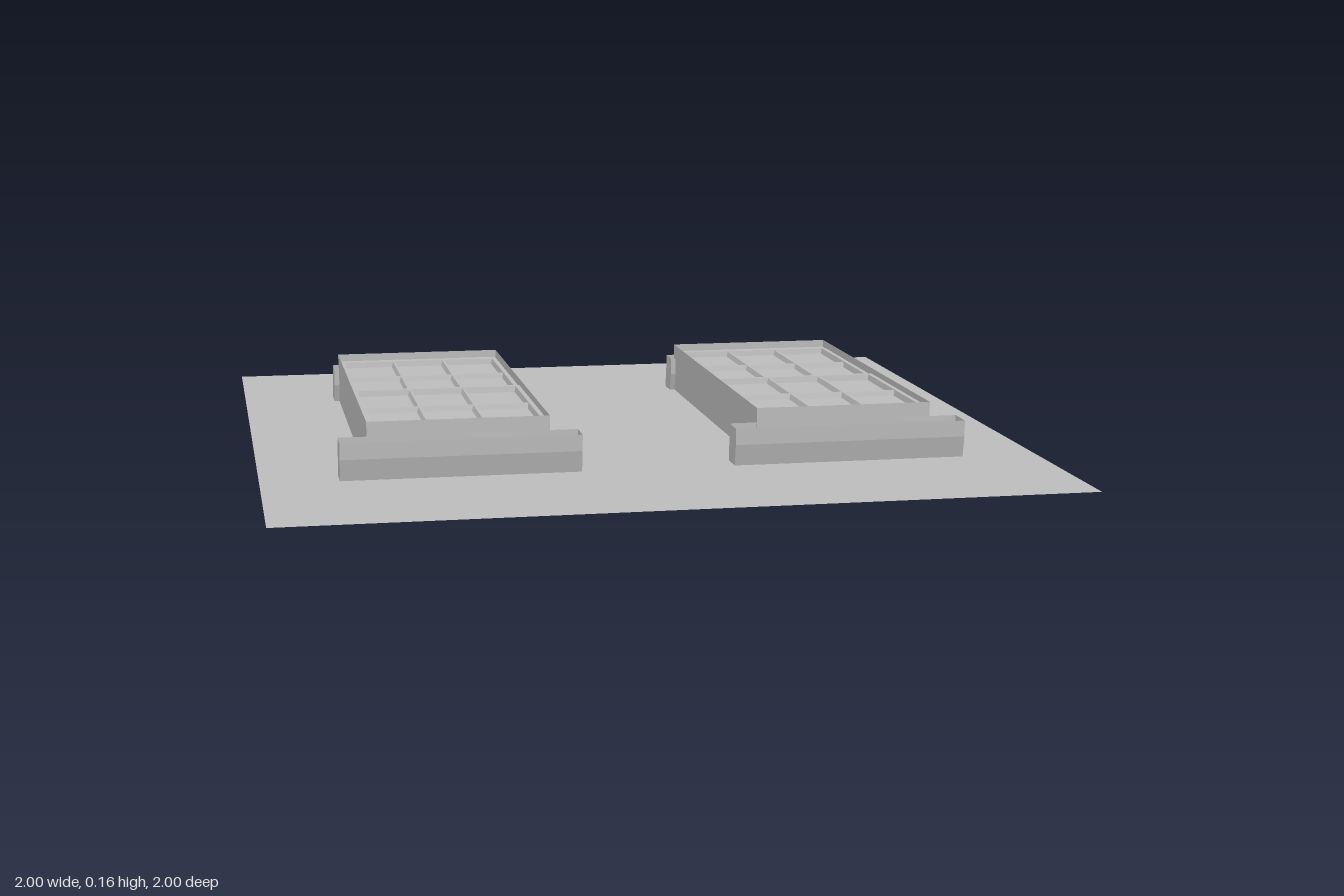
import * as THREE from 'three';

const grey = new THREE.MeshStandardMaterial({ color: 0xc0c0c0, side: THREE.DoubleSide });
grey.name = 'plaster grey';

const WALL_Y = 0.02, TOP_Y = 0.155;
const HALF_W = 0.231, Z_BACK = -0.55, Z_FRONT = 0.483;

function add(parent, name, geometry) {
  const mesh = new THREE.Mesh(geometry, grey);
  mesh.name = name;
  parent.add(mesh);
  return mesh;
}

// Open sheet that sweeps a (z, y) profile along x
function sweep(profile, half) {
  const pos = [];
  for (let i = 0; i < profile.length - 1; i++) {
    const [z0, y0] = profile[i], [z1, y1] = profile[i + 1];
    pos.push(-half, y0, z0, half, y0, z0, half, y1, z1);
    pos.push(-half, y0, z0, half, y1, z1, -half, y1, z1);
  }
  const g = new THREE.BufferGeometry();
  g.setAttribute('position', new THREE.Float32BufferAttribute(pos, 3));
  g.computeVertexNormals();
  return g;
}

// Open-topped moulding with closed ends
function moulding(parent, name, profile, half) {
  const group = new THREE.Group();
  group.name = name;
  add(group, name + 'Shell', sweep(profile, half));
  const cap = new THREE.ShapeGeometry(new THREE.Shape(profile.map(([z, y]) => new THREE.Vector2(z, y))));
  cap.rotateY(-Math.PI / 2);
  for (const side of [-1, 1]) add(group, name + 'End', cap).position.x = side * half;
  parent.add(group);
}

// Glazing bar with bevelled upper edges
function bar(parent, name, x, z, w, d, y, h, bevel = 0.005) {
  const g = new THREE.BoxGeometry(w, h, d).toNonIndexed();
  const p = g.attributes.position;
  for (let i = 0; i < p.count; i++) {
    if (p.getY(i) < 0) continue;
    p.setX(i, p.getX(i) - Math.sign(p.getX(i)) * bevel);
    p.setZ(i, p.getZ(i) - Math.sign(p.getZ(i)) * bevel);
  }
  g.computeVertexNormals();
  add(parent, name, g).position.set(x, y + h / 2, z);
}

// One sliding sash: border, glass, two upright bars and one cross bar
function sash(parent, name, z0, z1, y) {
  const group = new THREE.Group();
  group.name = name;
  const zc = (z0 + z1) / 2, len = z1 - z0;
  const glass = new THREE.PlaneGeometry(0.44, len).rotateX(-Math.PI / 2);
  add(group, 'glass', glass).position.set(0, y + 0.006, zc);
  for (const s of [-1, 1]) {
    bar(group, 'stile', s * 0.221, zc, 0.02, len, y, 0.022, 0.004);
    bar(group, 'uprightBar', s * 0.072, zc, 0.018, len, y, 0.02, 0.006);
  }
  bar(group, 'crossBar', 0, zc, 0.44, 0.018, y, 0.02, 0.006);
  for (const z of [z0, z1]) bar(group, 'rail', 0, z, 0.46, 0.022, y, 0.022, 0.004);
  parent.add(group);
}

function createWindow() {
  const win = new THREE.Group();
  win.name = 'window';

  // Side and end reveals
  const h = TOP_Y - WALL_Y, len = Z_FRONT - Z_BACK;
  for (const s of [-1, 1]) {
    const side = new THREE.PlaneGeometry(len, h).rotateY(s * Math.PI / 2);
    add(win, 'sideReveal', side).position.set(s * HALF_W, WALL_Y + h / 2, (Z_FRONT + Z_BACK) / 2);
  }
  for (const z of [Z_BACK, Z_FRONT]) {
    const end = new THREE.PlaneGeometry(HALF_W * 2, h);
    if (z < 0) end.rotateY(Math.PI);
    add(win, 'endReveal', end).position.set(0, WALL_Y + h / 2, z);
  }

  // Head strip between the end reveal and the upper sash
  bar(win, 'headStrip', 0, -0.534, 0.46, 0.03, 0.12, 0.015, 0.002);

  // Sashes meet at the middle rail
  sash(win, 'upperSash', -0.515, -0.025, 0.115);
  sash(win, 'lowerSash', -0.025, 0.47, 0.12);

  // Sill and lintel
  moulding(win, 'sill', [[0.481, 0.117], [0.481, 0], [0.537, 0], [0.541, 0.006], [0.554, 0.075], [0.555, 0.117]], 0.303);
  moulding(win, 'lintel', [[-0.59, 0.117], [-0.591, 0.09], [-0.604, 0.025], [-0.604, 0], [-0.545, 0],
    [-0.541, 0.012], [-0.526, 0.07], [-0.524, 0.117]], 0.245);
  return win;
}

export function createModel() {
  const model = new THREE.Group();
  model.name = 'wallPanelWithWindows';

  // Flat wall with two openings
  const shape = new THREE.Shape();
  shape.moveTo(-1, -1).lineTo(1, -1).lineTo(1, 1).lineTo(-1, 1).closePath();
  for (const x of [-0.5, 0.5]) {
    const hole = new THREE.Path();
    hole.moveTo(x - HALF_W, -Z_FRONT).lineTo(x - HALF_W, -Z_BACK);
    hole.lineTo(x + HALF_W, -Z_BACK).lineTo(x + HALF_W, -Z_FRONT).closePath();
    shape.holes.push(hole);
  }
  add(model, 'wall', new THREE.ShapeGeometry(shape).rotateX(-Math.PI / 2)).position.y = WALL_Y;

  for (const x of [-0.5, 0.5]) {
    const win = createWindow();
    win.position.x = x;
    model.add(win);
  }
  return model;
}
